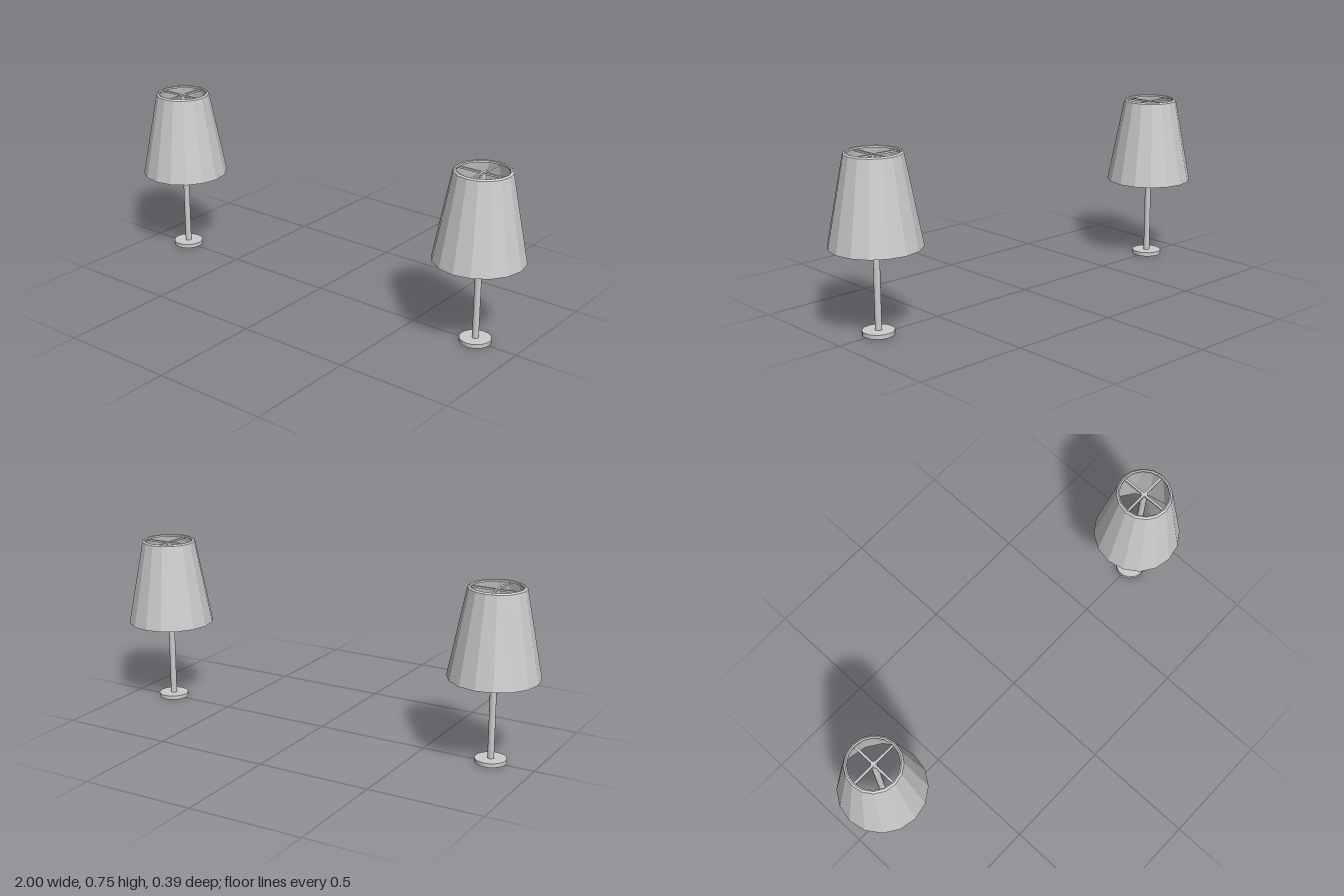
import * as THREE from 'three';

const material = new THREE.MeshStandardMaterial({
  color: 0xcccccc, flatShading: true, side: THREE.DoubleSide,
});

function addPart(parent, name, geometry, y = 0) {
  const mesh = new THREE.Mesh(geometry, material);
  mesh.name = name;
  mesh.position.y = y;
  parent.add(mesh);
  return mesh;
}

function createLamp(name) {
  const lamp = new THREE.Group();
  lamp.name = name;

  // Disc foot and the pole running up through it
  addPart(lamp, 'base', new THREE.CylinderGeometry(0.067, 0.067, 0.018, 20), 0.011);
  addPart(lamp, 'pole', new THREE.CylinderGeometry(0.014, 0.014, 0.74, 12), 0.37);

  // Open tapered shade with a narrow rim folded inward at the top
  const profile = [
    [0.193, 0.37], [0.12, 0.746], [0.112, 0.752], [0.106, 0.75], [0.106, 0.742],
  ].map(([r, y]) => new THREE.Vector2(r, y));
  addPart(lamp, 'shade', new THREE.LatheGeometry(profile, 16));

  // Crossed spokes holding the shade on the pole
  for (let i = 0; i < 2; i++) {
    const spoke = addPart(lamp, 'shadeSpoke', new THREE.BoxGeometry(0.232, 0.008, 0.01), 0.737);
    spoke.rotation.y = i * Math.PI / 2;
  }
  return lamp;
}

export function createModel() {
  const model = new THREE.Group();
  model.name = 'tableLamps';
  // Matching pair, one on each side
  for (const [name, x] of [['leftLamp', 0.807], ['rightLamp', -0.807]]) {
    const lamp = createLamp(name);
    lamp.position.x = x;
    model.add(lamp);
  }
  return model;
}
